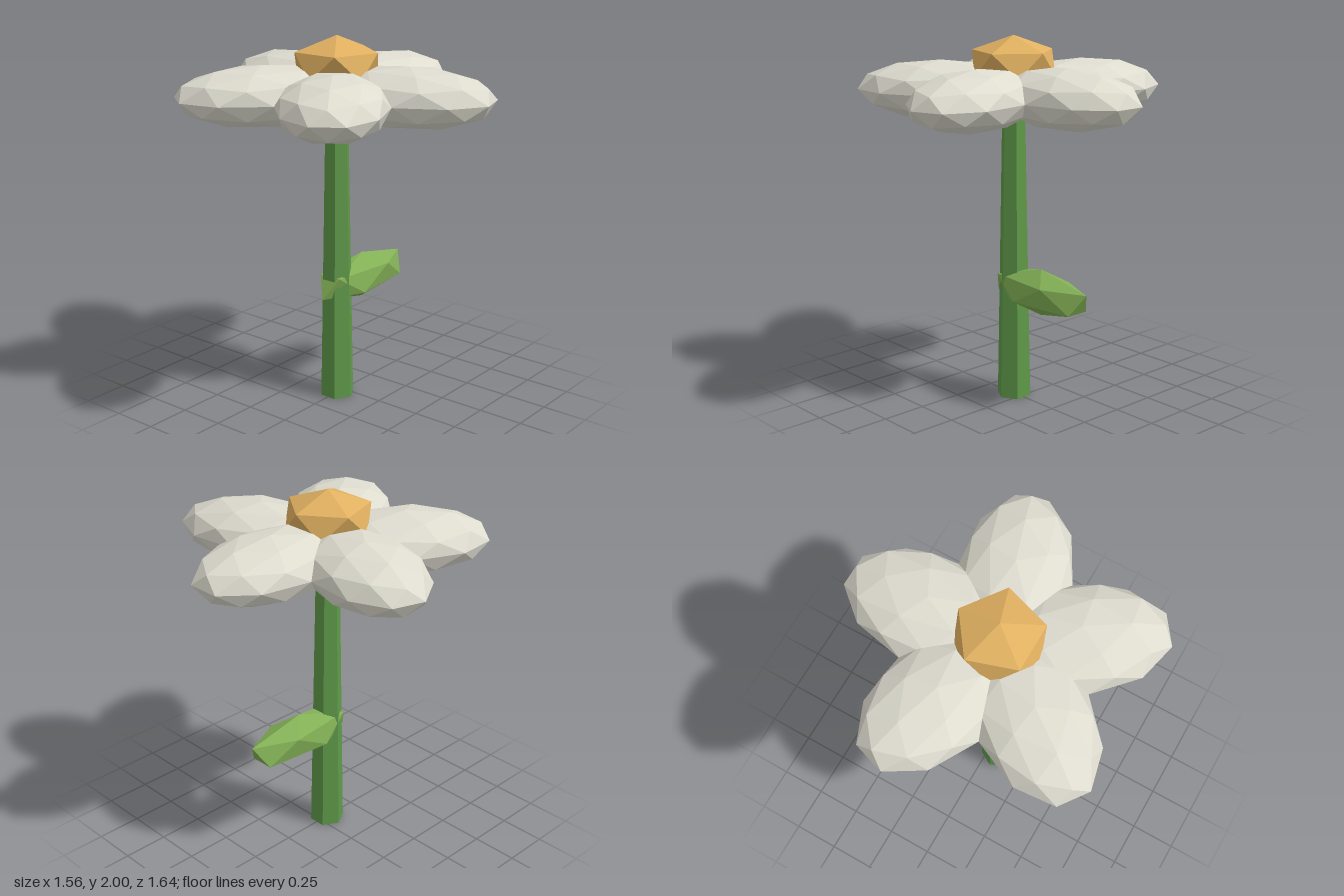
import * as THREE from 'three';

const CENTRE_X = -0.055;

function material(color) {
  return new THREE.MeshStandardMaterial({ color, flatShading: true });
}

// Faceted ellipsoid: a vertex at each pole, an upper-ring vertex towards +x
function facetedBlob(rx, ry, rz, detail) {
  const geometry = new THREE.IcosahedronGeometry(1, detail);
  geometry.rotateX(-Math.atan((1 + Math.sqrt(5)) / 2));
  geometry.rotateY(Math.PI / 2);
  geometry.scale(rx, ry, rz);
  return geometry;
}

function addMesh(parent, name, geometry, mat, x, y, z = 0) {
  const mesh = new THREE.Mesh(geometry, mat);
  mesh.name = name;
  mesh.position.set(x, y, z);
  parent.add(mesh);
  return mesh;
}

export function createModel() {
  const flower = new THREE.Group();
  flower.name = 'flower';

  // Tapered six-sided stem
  const stemHeight = 1.7;
  const stem = new THREE.CylinderGeometry(0.062, 0.095, stemHeight, 6);
  addMesh(flower, 'stem', stem, material(0x5f9a4a), CENTRE_X, stemHeight / 2);

  // Single leaf, passing through the stem
  addMesh(flower, 'leaf', facetedBlob(0.38, 0.128, 0.125, 0), material(0x82b055), 0.16, 0.643);

  // Five petals around the centre
  const petals = new THREE.Group();
  petals.name = 'petals';
  petals.position.set(CENTRE_X, 1.705, 0);
  flower.add(petals);
  const petalGeometry = facetedBlob(0.46, 0.157, 0.288, 1);
  const petalMaterial = material(0xdedccf);
  const reach = 0.395;
  for (let i = 0; i < 5; i++) {
    const angle = (i / 5) * Math.PI * 2;
    const petal = addMesh(petals, `petal${i + 1}`, petalGeometry, petalMaterial,
      reach * Math.cos(angle), 0, -reach * Math.sin(angle));
    petal.rotation.y = angle;
  }

  // Golden flower centre
  addMesh(flower, 'flowerCentre', facetedBlob(0.25, 0.145, 0.25, 0), material(0xe0b060), CENTRE_X, 1.855);

  return flower;
}
